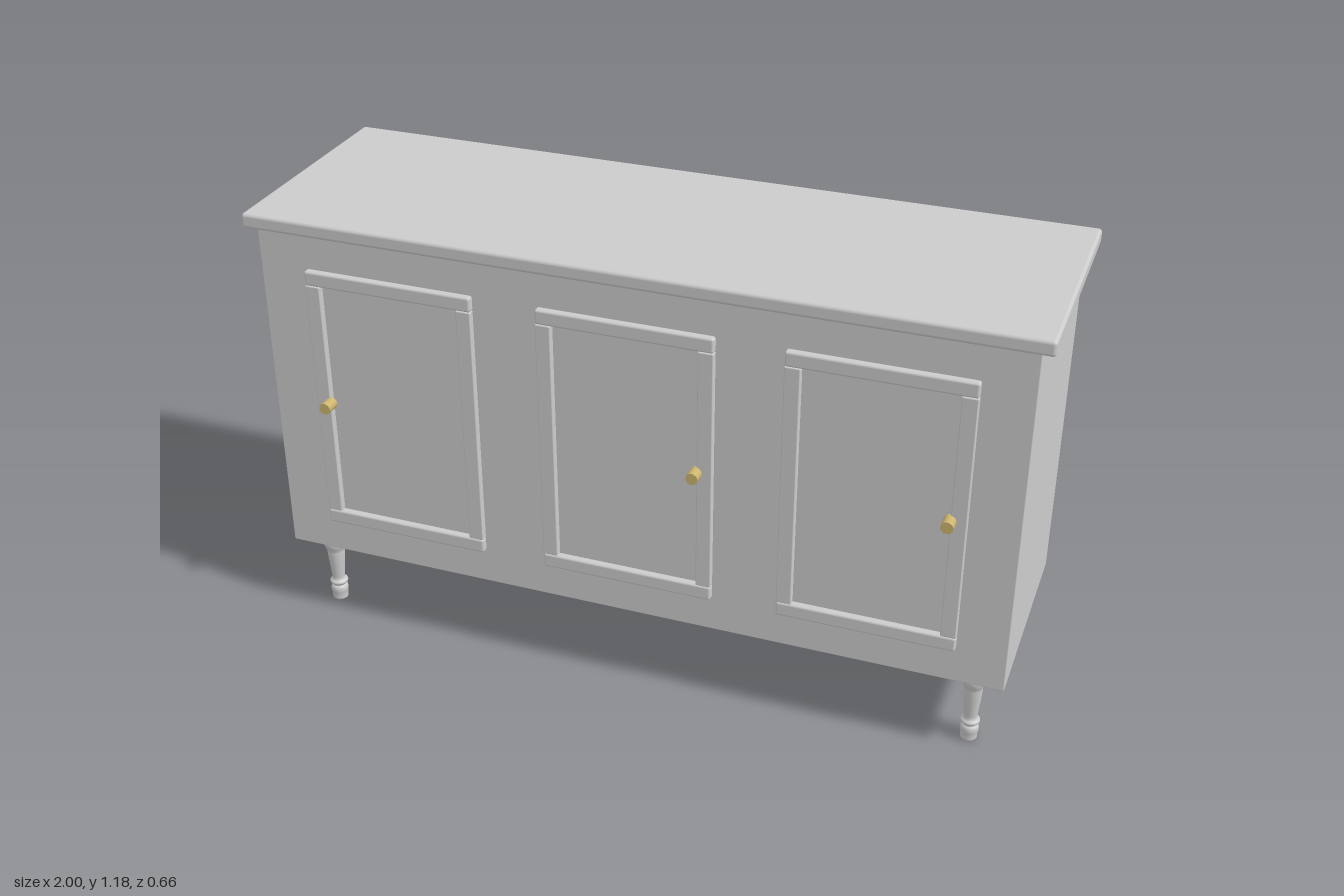
import * as THREE from 'three';
import { RoundedBoxGeometry } from 'three/addons/geometries/RoundedBoxGeometry.js';

const grey = new THREE.MeshStandardMaterial({ color: 0xcccccc });
const brass = new THREE.MeshStandardMaterial({ color: 0xcdb56f });

function add(parent, name, geometry, x, y, z, material = grey) {
  const mesh = new THREE.Mesh(geometry, material);
  mesh.name = name;
  mesh.position.set(x, y, z);
  parent.add(mesh);
  return mesh;
}

// Turned leg: flared collar, tapering shaft, ring and bulbous foot
function legGeometry() {
  const collar = [[0.024, 0.158], [0.029, 0.172], [0.0305, 0.185], [0.026, 0.198], [0.031, 0.206], [0.031, 0.214]];
  const lower = [[0.021, 0], [0.0215, 0.015], [0.0235, 0.028], [0.022, 0.038], [0.0175, 0.044],
    [0.024, 0.051], [0.024, 0.057], [0.0175, 0.065], [0.0185, 0.085], [0.022, 0.125], [0.0235, 0.148]];
  const curve = new THREE.SplineCurve([...lower, ...collar].map(([r, y]) => new THREE.Vector2(r, y)));
  return new THREE.LatheGeometry([new THREE.Vector2(0, 0), ...curve.getPoints(56)], 24);
}

// Raised door frame of two rails and two stiles, with a knob on one stile
function door(x, knobX) {
  const group = new THREE.Group();
  group.name = 'door';
  const width = 0.45, bottom = 0.309, top = 1.043, bar = 0.039, depth = 0.026, z = 0.285;
  const height = top - bottom - 2 * bar, middle = (top + bottom) / 2;
  for (const y of [bottom + bar / 2, top - bar / 2]) {
    add(group, 'rail', new RoundedBoxGeometry(width, bar, depth, 3, 0.006), x, y, z);
  }
  for (const side of [-1, 1]) {
    add(group, 'stile', new RoundedBoxGeometry(bar, height, depth, 3, 0.003), x + side * (width - bar) / 2, middle, z);
  }
  const knob = add(group, 'knob', new THREE.CylinderGeometry(0.0155, 0.0155, 0.038, 24), knobX, middle, 0.311, brass);
  knob.rotation.x = Math.PI / 2;
  return group;
}

export function createModel() {
  const model = new THREE.Group();
  model.name = 'sideboard';

  add(model, 'cabinet', new RoundedBoxGeometry(1.944, 0.93, 0.581, 2, 0.003), -0.004, 0.677, -0.01);
  add(model, 'countertop', new RoundedBoxGeometry(2, 0.039, 0.638, 4, 0.009), 0, 1.1605, -0.009);

  for (const [x, knobX] of [[-0.622, -0.808], [-0.002, 0.183], [0.618, 0.803]]) model.add(door(x, knobX));

  const leg = legGeometry();
  for (const x of [-0.893, 0.885]) {
    for (const z of [0.213, -0.232]) add(model, 'leg', leg, x, 0, z);
  }
  return model;
}
